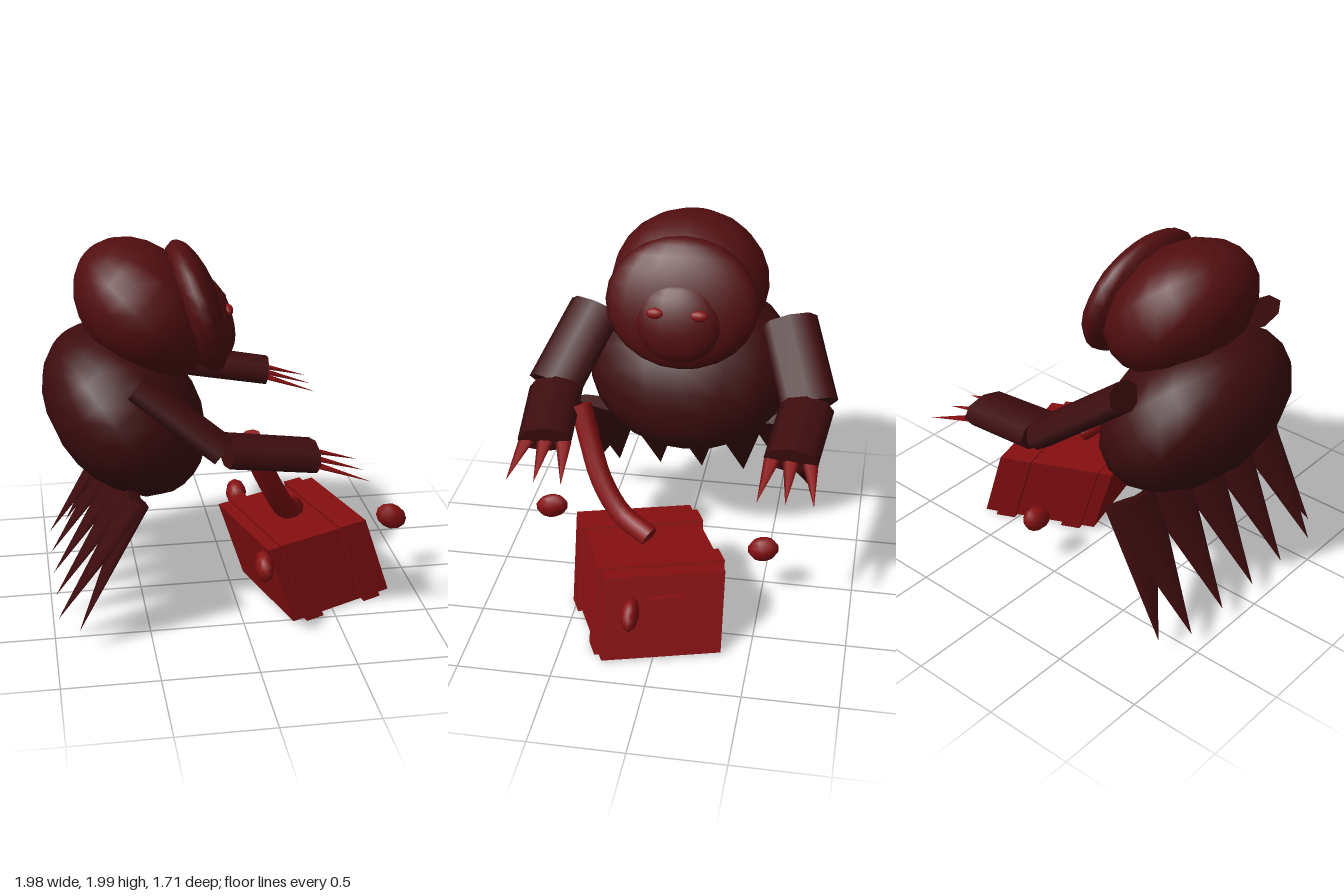
import * as THREE from 'three';

const V = (x, y, z) => new THREE.Vector3(x, y, z);
const mat = (name, color) => {
  const m = new THREE.MeshStandardMaterial({ color });
  m.name = name;
  return m;
};

export function createModel() {
  const group = new THREE.Group();
  const fur = mat('dark fur', 0x3d0c0e);
  const face = mat('face fur', 0x520e10);
  const red = mat('red', 0x860f11);

  const add = (name, geo, material) => {
    const mesh = new THREE.Mesh(geo, material);
    mesh.name = name;
    group.add(mesh);
    return mesh;
  };

  // Ellipsoid tilted about z (degrees)
  const blob = (name, center, radii, tilt, material, w = 16, h = 12) => {
    const mesh = add(name, new THREE.SphereGeometry(1, w, h), material);
    mesh.scale.set(...radii);
    mesh.position.set(...center);
    mesh.rotation.z = THREE.MathUtils.degToRad(tilt);
    return mesh;
  };

  // Flattened cylinder or cone from a to b; wide along z, thin across it
  const limb = (name, a, b, wide, thin, taper, material, sides = 8) => {
    const dir = b.clone().sub(a);
    const len = dir.length();
    dir.normalize();
    const zAxis = V(0, 0, 1).addScaledVector(dir, -dir.z).normalize();
    const xAxis = dir.clone().cross(zAxis);
    const geo = new THREE.CylinderGeometry(taper, 1, len, sides);
    geo.scale(thin, 1, wide);
    geo.applyMatrix4(new THREE.Matrix4().makeBasis(xAxis, dir, zAxis)
      .setPosition(a.clone().add(b).multiplyScalar(0.5)));
    return add(name, geo, material);
  };

  // Body and head
  blob('body', [-0.565, 1.085, 0], [0.375, 0.505, 0.59], 39, fur);
  blob('head', [-0.45, 1.63, 0], [0.31, 0.415, 0.435], 43, face);
  blob('faceDisc', [-0.18, 1.63, 0], [0.133, 0.355, 0.412], 17, face);
  blob('muzzle', [-0.1, 1.57, 0], [0.112, 0.23, 0.243], 17, face);

  for (const s of [1, -1]) {
    blob('eye', [-0.025, 1.635, 0.115 * s], [0.026, 0.03, 0.052], 17, red, 10, 8);

    // Arms with three claws
    limb('upperArm', V(-0.54, 1.395, 0.545 * s), V(-0.14, 1.095, 0.705 * s), 0.155, 0.078, 1, fur);
    limb('forearm', V(-0.125, 1.09, 0.69 * s), V(0.32, 1.02, 0.65 * s), 0.148, 0.08, 0.97, fur);
    for (const k of [-1, 0, 1]) {
      limb('claw', V(0.31, 1.01, (0.65 + 0.1 * k) * s), V(0.585, 0.92, (0.65 + 0.145 * k) * s),
        0.042, 0.012, 0, red, 6);
    }

    // Outer tail spike, splayed sideways
    limb('outerTailSpike', V(-0.55, 0.77, 0.5 * s), V(-0.88, 0.13, 0.67 * s), 0.19, 0.045, 0, fur);
  }

  // Row of flat tail spikes
  for (let i = -2; i <= 2; i++) {
    limb('tailSpike', V(-0.56, 0.77, 0.25 * i), V(-0.98, 0.13, 0.262 * i), 0.19, 0.045, 0, fur);
  }

  // Curved hose from the left hand to the crate
  const hose = new THREE.CatmullRomCurve3([
    V(0.02, 1.08, 0.52), V(0.09, 0.9, 0.46), V(0.18, 0.71, 0.38),
    V(0.26, 0.56, 0.26), V(0.34, 0.48, 0.09),
  ]);
  add('hose', new THREE.TubeGeometry(hose, 14, 0.06, 10), red);
  for (const [t, sign] of [[0, -1], [1, 1]]) {
    const cap = add('hoseEnd', new THREE.CircleGeometry(0.06, 10), red);
    cap.position.copy(hose.getPoint(t));
    cap.lookAt(cap.position.clone().addScaledVector(hose.getTangent(t), sign));
  }

  // Leaning crate: unit-box coordinates mapped through a sheared frame
  const frame = new THREE.Matrix4()
    .makeBasis(V(0.59, 0, -0.28), V(-0.14, 0.43, 0), V(0.17, 0, 0.61))
    .setPosition(0.4, 0.233, 0.095);
  const crate = (name, size, pos) => {
    const geo = new THREE.BoxGeometry(...size).translate(...pos);
    add(name, geo.applyMatrix4(frame), red);
  };
  crate('crate', [1, 1, 1], [0, 0, 0]);
  for (const t of [-0.3, 0.3]) crate('crateBand', [0.17, 1.06, 1.06], [t, 0, 0]);
  crate('crateLatch', [0.06, 0.34, 0.31], [0.51, 0.08, 0]);

  // Loose pebbles
  blob('pebble', [0.9, 0.38, 0.09], [0.095, 0.07, 0.048], -35, red, 8, 6);
  blob('pebble', [0.12, 0.315, -0.505], [0.06, 0.07, 0.09], 0, red, 8, 6).rotation.x = 0.35;
  blob('pebble', [0.07, 0.44, 0.695], [0.048, 0.07, 0.095], 0, red, 8, 6).rotation.x = 0.35;

  return group;
}
